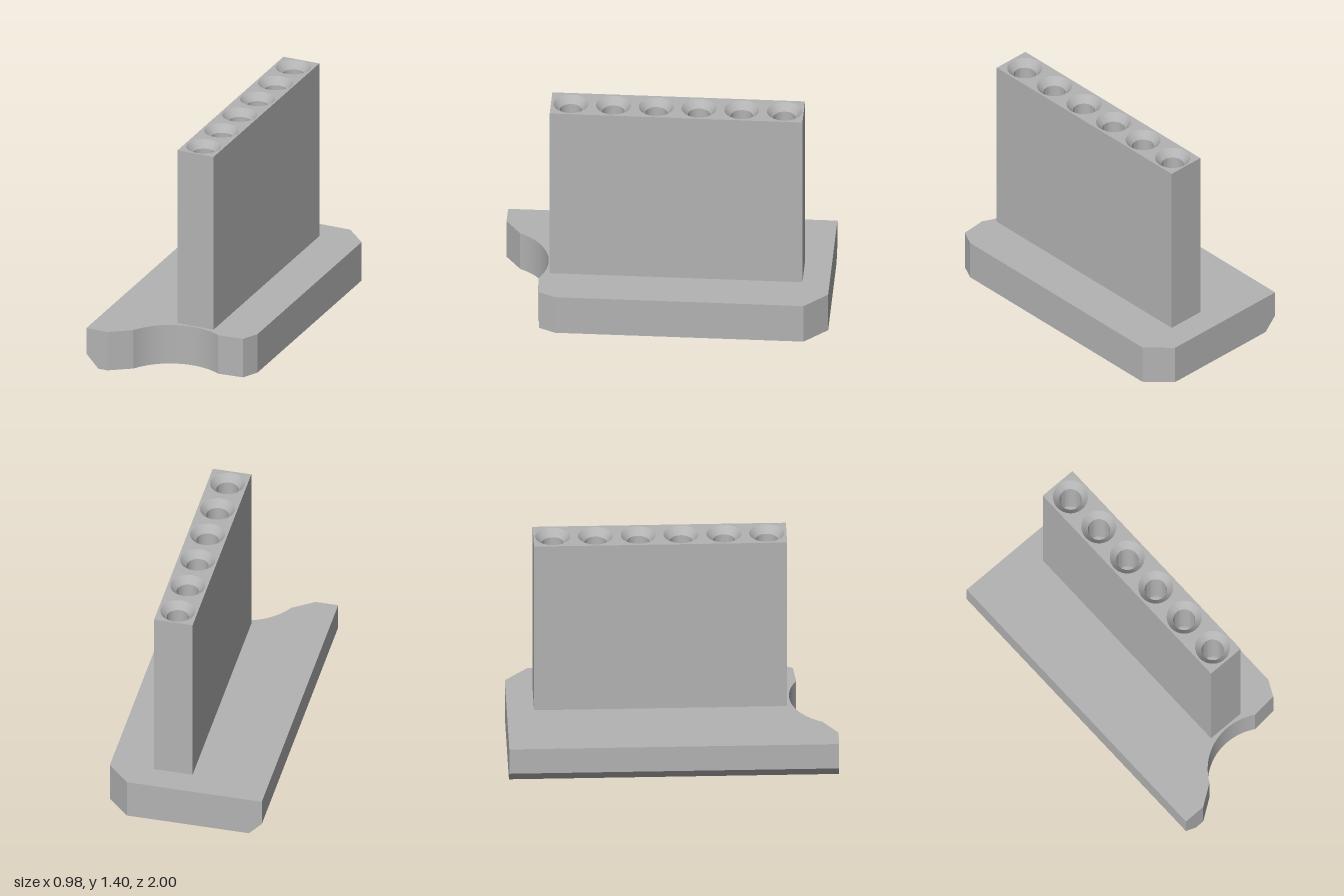
import * as THREE from 'three';
import { toCreasedNormals } from 'three/addons/utils/BufferGeometryUtils.js';

export function createModel() {
  const model = new THREE.Group();
  const grey = new THREE.MeshStandardMaterial({ color: 0xb3b3b3 });
  grey.name = 'grey';

  const add = (name, geometry, x = 0, y = 0, z = 0) => {
    const mesh = new THREE.Mesh(geometry, grey);
    mesh.name = name;
    mesh.position.set(x, y, z);
    model.add(mesh);
  };

  const BASE = 0.255, TOP = 1.4;

  // Base plate: outline drawn with y = -z, scooped at the front
  const outline = new THREE.Shape();
  outline.moveTo(-0.49, 1);
  outline.lineTo(-0.49, -1);
  outline.lineTo(-0.35, -1);
  outline.lineTo(-0.22, -0.91);
  outline.absarc(0.1, -1.072, 0.357, Math.atan2(0.162, -0.32), Math.atan2(0.307, 0.18), true);
  outline.lineTo(0.44, -0.75);
  outline.lineTo(0.49, -0.65);
  outline.lineTo(0.49, 0.86);
  outline.lineTo(0.35, 1);
  outline.closePath();
  const base = new THREE.ExtrudeGeometry(outline, {
    depth: BASE, steps: 3, bevelEnabled: false, curveSegments: 32,
  });
  // Chamfer along the lower right-hand edge
  const pos = base.attributes.position;
  for (let i = 0; i < pos.count; i++) {
    if (pos.getZ(i) < 0.001 && pos.getX(i) < -0.48) pos.setX(i, -0.41);
  }
  base.rotateX(-Math.PI / 2);
  add('basePlate', toCreasedNormals(base, 0.3));

  // Upright block: four sides only, the pierced top is separate
  const x0 = -0.02, x1 = 0.22, z0 = -0.835, z1 = 0.7;
  const midX = (x0 + x1) / 2, midZ = (z0 + z1) / 2;
  const sides = new THREE.BoxGeometry(x1 - x0, TOP - BASE, z1 - z0);
  const index = Array.from(sides.index.array);
  sides.setIndex([...index.slice(0, 12), ...index.slice(24)]);
  sides.clearGroups();
  add('uprightSides', sides, midX, (TOP + BASE) / 2, midZ);

  // Top face with a row of six countersunk holes
  const top = new THREE.Shape([
    new THREE.Vector2(x0, -z0), new THREE.Vector2(x0, -z1),
    new THREE.Vector2(x1, -z1), new THREE.Vector2(x1, -z0),
  ]);
  const RIM = 0.106, BORE = 0.067, DEPTH = 0.35;
  const profile = [[RIM, 0], [BORE, -0.045], [BORE, -DEPTH], [0, -DEPTH]]
    .map(([r, y]) => new THREE.Vector2(r, y));
  const socket = toCreasedNormals(new THREE.LatheGeometry(profile, 48), 0.5);
  for (let i = 0; i < 6; i++) {
    const z = -0.718 + i * 0.2595;
    const hole = new THREE.Path();
    hole.absarc(midX, -z, RIM, 0, Math.PI * 2, true);
    top.holes.push(hole);
    add('countersunkHole' + (i + 1), socket, midX, TOP, z);
  }
  add('uprightTop', new THREE.ShapeGeometry(top, 24).rotateX(-Math.PI / 2), 0, TOP, 0);

  return model;
}
